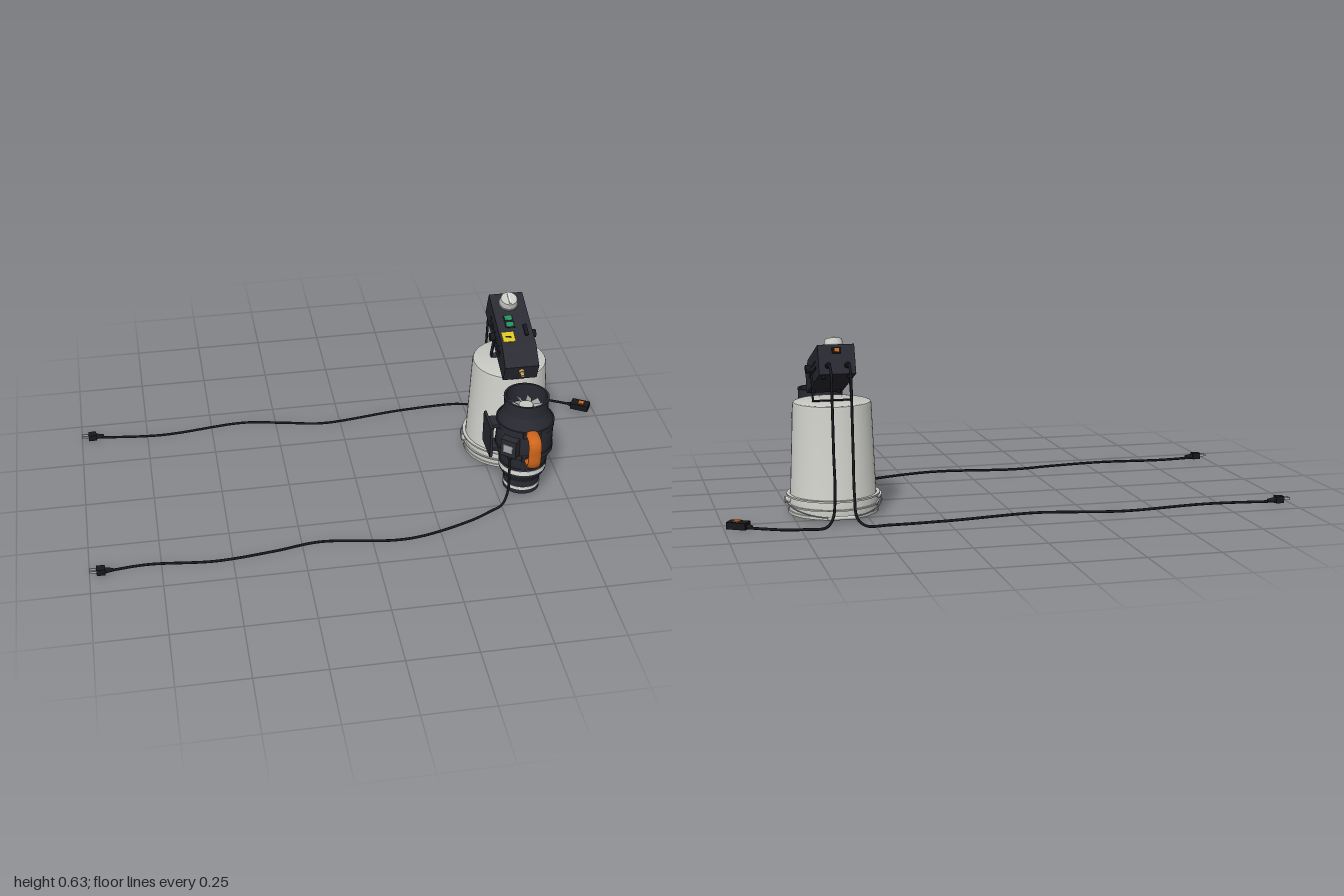
import * as THREE from 'three';
import { toCreasedNormals } from 'three/addons/utils/BufferGeometryUtils.js';

const mat = (name, color, side = THREE.FrontSide) => {
  const m = new THREE.MeshStandardMaterial({ color, side });
  m.name = name;
  return m;
};

export function createModel() {
  const M = {
    dark: mat('charcoal', 0x2a2b33),
    black: mat('black rubber', 0x17181c),
    pail: mat('pale grey plastic', 0xc9c9c4),
    white: mat('white', 0xe0e0dc),
    steel: mat('steel', 0xa4a9ab),
    orange: mat('orange', 0xcf651c),
    yellow: mat('yellow', 0xd9c41f),
    green: mat('green', 0x1f8f5c),
    brass: mat('brass', 0xc9a265),
  };
  const model = new THREE.Group();
  const group = (name, x, y, z, parent = model) => {
    const g = new THREE.Group();
    g.name = name;
    g.position.set(x, y, z);
    parent.add(g);
    return g;
  };
  const add = (parent, name, geo, m, x = 0, y = 0, z = 0) => {
    const mesh = new THREE.Mesh(geo, m);
    mesh.name = name;
    mesh.position.set(x, y, z);
    parent.add(mesh);
    return mesh;
  };
  const box = (p, name, m, w, h, d, x, y, z) => add(p, name, new THREE.BoxGeometry(w, h, d), m, x, y, z);
  const cyl = (p, name, m, r, h, x, y, z, seg = 24) => add(p, name, new THREE.CylinderGeometry(r, r, h, seg), m, x, y, z);
  const lathe = (p, name, m, pts) => add(p, name, toCreasedNormals(
    new THREE.LatheGeometry(pts.map(([r, y]) => new THREE.Vector2(r, y)), 48), 0.5), m);
  const ring = (p, name, m, r, y0, y1) => lathe(p, name, m, [[r - 0.012, y0], [r, y0], [r, y1], [r - 0.012, y1]]);
  const curve = pts => new THREE.CatmullRomCurve3(pts.map(p => new THREE.Vector3(...p)));
  const tube = (p, name, m, pts, r, n = 140, sides = 8) =>
    add(p, name, new THREE.TubeGeometry(curve(pts), n, r, sides), m);

  // Upturned bucket with rim flanges and wire bail
  const bucket = group('bucket', 0.6, 0, -0.124);
  lathe(bucket, 'bucketShell', M.pail, [[0, 0.146], [0.158, 0.146], [0.158, 0.156], [0.155, 0.157], [0.153, 0.206],
    [0.15, 0.212], [0.137, 0.525], [0.134, 0.533], [0.128, 0.535], [0, 0.535]]);
  ring(bucket, 'upperFlange', M.pail, 0.163, 0.206, 0.212);
  ring(bucket, 'lowerFlange', M.pail, 0.16, 0.175, 0.18);
  const bail = [];
  for (let i = 0; i <= 12; i++) {
    const t = Math.PI * i / 12;
    bail.push([0.168 * Math.cos(t), 0.193 - 0.035 * Math.sin(t), -0.182 * Math.sin(t)]);
  }
  tube(bucket, 'bail', M.steel, bail, 0.0025, 60, 6);
  cyl(bucket, 'bailGrip', M.pail, 0.007, 0.1, 0, 0.158, -0.181, 12).rotation.z = Math.PI / 2;
  for (const s of [-1, 1]) cyl(bucket, 'bailPivot', M.pail, 0.012, 0.02, s * 0.16, 0.193, 0).rotation.z = Math.PI / 2;

  // Duct fan with reducer
  const fan = group('ductFan', 0.6, 0, 0.136);
  lathe(fan, 'fanHousing', M.dark, [[0, 0.165], [0.061, 0.165], [0.061, 0.149], [0.067, 0.149], [0.067, 0.202],
    [0.086, 0.236], [0.086, 0.276], [0.103, 0.337], [0.103, 0.445], [0.08, 0.488], [0.08, 0.535], [0.082, 0.535],
    [0.082, 0.541], [0.074, 0.541], [0.074, 0.46], [0, 0.46]]);
  ring(fan, 'upperClampBand', M.dark, 0.1055, 0.429, 0.449);
  ring(fan, 'lowerClampBand', M.dark, 0.1055, 0.327, 0.347);
  ring(fan, 'reducerCollar', M.dark, 0.088, 0.265, 0.274);
  ring(fan, 'upperWhiteBand', M.white, 0.0875, 0.245, 0.263);
  ring(fan, 'lowerWhiteBand', M.white, 0.0685, 0.167, 0.179);

  // Impeller inside the intake
  cyl(fan, 'impellerPlate', M.steel, 0.072, 0.004, 0, 0.468, 0, 32);
  cyl(fan, 'impellerHub', M.pail, 0.026, 0.03, 0, 0.487, 0);
  for (let i = 0; i < 11; i++) {
    const blade = group('blade', 0, 0.488, 0, fan);
    blade.rotation.y = i * Math.PI * 2 / 11;
    box(blade, 'bladeVane', M.steel, 0.046, 0.003, 0.022, 0.047, 0, 0).rotation.x = 0.7;
  }

  // Orange carrying handle and its mounts
  const grip = tube(fan, 'handle', M.orange, [[0, 0.442, 0.095], [0, 0.442, 0.128], [0, 0.437, 0.146], [0, 0.42, 0.155],
    [0, 0.386, 0.156], [0, 0.352, 0.155], [0, 0.335, 0.146], [0, 0.331, 0.128], [0, 0.331, 0.095]], 0.0115, 48, 12);
  grip.scale.x = 2.1;
  for (const y of [0.438, 0.336]) {
    box(fan, 'handleMount', M.dark, 0.066, 0.02, 0.045, 0, y, 0.088);
    box(fan, 'wallBracketArm', M.dark, 0.06, 0.014, 0.06, -0.108, y, 0);
  }
  box(fan, 'wallBracketPlate', M.dark, 0.01, 0.126, 0.115, -0.135, 0.387, 0);

  // Wiring box set diagonally on the fan side
  const junction = group('wiringBox', -0.072, 0.386, 0.086, fan);
  junction.rotation.y = -0.7;
  box(junction, 'wiringBoxBody', M.dark, 0.06, 0.07, 0.04, 0, 0, 0);
  box(junction, 'wiringLabel', M.steel, 0.035, 0.03, 0.003, 0, 0, 0.021);
  cyl(junction, 'cordGland', M.black, 0.009, 0.02, 0, -0.043, 0, 12);

  // Airflow arrow
  const arrow = new THREE.Shape([[-0.004, 0.033], [-0.004, -0.008], [-0.011, -0.008], [0, -0.033],
    [0.011, -0.008], [0.004, -0.008], [0.004, 0.033]].map(p => new THREE.Vector2(...p)));
  const arrowTurn = group('airflowArrow', 0, 0.387, 0, fan);
  arrowTurn.rotation.y = Math.PI / 2 + 0.61;
  add(arrowTurn, 'arrowPlate', new THREE.ExtrudeGeometry(arrow, { depth: 0.004, bevelEnabled: false }), M.white, 0, 0, 0.101);

  // Control unit, tilted on its bracket; local origin is the pivot
  const unit = group('controlUnit', 0.602, 0.645, -0.108);
  unit.rotation.x = 0.35;
  const outline = [[0.161, -0.053], [0.161, 0.017], [0.087, 0.05], [-0.158, 0.05], [-0.158, -0.053]];
  const profile = k => outline.map(([z, y]) => new THREE.Vector2(z * k, y * k));
  const extrudeX = (shape, depth) => new THREE.ExtrudeGeometry(shape, { depth, bevelEnabled: false, curveSegments: 5 })
    .rotateY(-Math.PI / 2).translate(depth / 2, 0, 0);
  const shell = new THREE.Shape(profile(1));
  shell.holes.push(new THREE.Path(profile(0.96)));
  add(unit, 'caseShell', extrudeX(shell, 0.12), M.dark);
  const panel = new THREE.Shape(profile(1));
  for (let r = 0; r < 5; r++) for (let c = 0; c < 14; c++) {
    const hole = new THREE.Path();
    hole.absarc(-0.09 + c * 0.0127, -0.027 + r * 0.0085, 0.003, 0, Math.PI * 2, true);
    panel.holes.push(hole);
  }
  const panelGeo = extrudeX(panel, 0.003);
  for (const s of [-1, 1]) {
    add(unit, 'ventPanel', panelGeo, M.dark, s * 0.0615);
    cyl(unit, 'pivotKnob', M.black, 0.015, 0.018, s * 0.077, 0, 0, 16).rotation.z = Math.PI / 2;
    box(unit, 'bracketArm', M.dark, 0.004, 0.115, 0.022, s * 0.067, -0.055, 0);
    for (const z of [-0.13, 0.125]) cyl(unit, 'foot', M.black, 0.008, 0.01, s * 0.045, -0.057, z, 12);
    const gland = cyl(unit, 'rearCordGland', M.black, 0.009, 0.024, s * 0.033, -0.024, -0.168, 12);
    gland.rotation.x = Math.PI / 2;
  }
  box(unit, 'bracketBase', M.dark, 0.138, 0.004, 0.022, 0, -0.113, 0);

  // Controls, labels and nozzle
  cyl(unit, 'dialBase', M.steel, 0.036, 0.006, 0, 0.053, -0.11, 32);
  add(unit, 'dial', new THREE.CylinderGeometry(0.03, 0.034, 0.022, 32), M.pail, 0, 0.067, -0.11);
  box(unit, 'dialPointer', M.white, 0.007, 0.006, 0.05, 0, 0.079, -0.11);
  box(unit, 'warningLabel', M.yellow, 0.044, 0.002, 0.044, -0.032, 0.051, 0.046);
  box(unit, 'warningMark', M.black, 0.02, 0.002, 0.006, -0.032, 0.0522, 0.046);
  box(unit, 'display', M.black, 0.036, 0.002, 0.056, -0.015, 0.051, -0.024);
  for (const z of [-0.04, -0.01]) box(unit, 'displaySegment', M.green, 0.026, 0.002, 0.02, -0.015, 0.0524, z);
  box(unit, 'slideSwitch', M.black, 0.014, 0.006, 0.05, 0.038, 0.052, 0.02);
  box(unit, 'powerSwitch', M.black, 0.03, 0.02, 0.012, 0, 0.028, -0.162);
  box(unit, 'powerLamp', M.orange, 0.016, 0.012, 0.004, 0, 0.028, -0.169);
  cyl(unit, 'nozzleNut', M.brass, 0.011, 0.01, 0, -0.005, 0.166, 6).rotation.x = Math.PI / 2;
  cyl(unit, 'nozzle', M.brass, 0.007, 0.022, 0, -0.005, 0.176, 16).rotation.x = Math.PI / 2;

  // Cords
  const drop = x => [[x, 0.68, -0.272], [x, 0.684, -0.3], [x, 0.663, -0.329], [x, 0.573, -0.342],
    [x, 0.393, -0.357], [x, 0.25, -0.372]];
  const onFloor = pts => pts.map(([x, z]) => [x, 0.15, z]);
  tube(model, 'unitPowerCord', M.black, [...drop(0.568), [0.562, 0.175, -0.386], ...onFloor([[0.535, -0.4], [0.455, -0.41],
    [0.24, -0.4], [-0.07, -0.363], [-0.21, -0.388], [-0.374, -0.416], [-0.695, -0.385], [-0.955, -0.41]])], 0.0048, 200);
  tube(model, 'remoteCord', M.black, [...drop(0.634), [0.645, 0.175, -0.385], ...onFloor([[0.67, -0.396], [0.73, -0.402],
    [0.8, -0.392], [0.86, -0.365], [0.925, -0.33]])], 0.0048, 140);
  tube(model, 'fanPowerCord', M.black, [[0.528, 0.345, 0.225], [0.526, 0.28, 0.235], [0.52, 0.2, 0.25], [0.497, 0.158, 0.266],
    ...onFloor([[0.45, 0.287], [0.374, 0.326], [0.187, 0.385], [0.08, 0.394], [-0.187, 0.36], [-0.35, 0.385],
      [-0.56, 0.406], [-0.8, 0.386], [-0.955, 0.4]])], 0.0048, 180);

  // Mains plugs
  for (const z of [-0.41, 0.4]) {
    const plug = group('plug', -0.96, 0.157, z);
    box(plug, 'plugBody', M.black, 0.03, 0.024, 0.028, 0, 0, 0);
    const relief = add(plug, 'strainRelief', new THREE.CylinderGeometry(0.006, 0.011, 0.03, 12), M.black, 0.028, -0.002, 0);
    relief.rotation.z = -Math.PI / 2;
    for (const s of [-1, 1]) box(plug, 'prong', M.steel, 0.026, 0.009, 0.003, -0.027, 0.002, s * 0.008);
  }

  // Remote switch block
  const remote = group('remoteSwitch', 0.953, 0.157, -0.31);
  remote.rotation.y = -0.53;
  box(remote, 'remoteBody', M.black, 0.07, 0.024, 0.042, 0, 0, 0);
  box(remote, 'remoteButton', M.orange, 0.022, 0.006, 0.022, 0.004, 0.013, 0);
  const collar = add(remote, 'remoteCollar', new THREE.CylinderGeometry(0.006, 0.01, 0.02, 12), M.black, -0.042, -0.004, 0);
  collar.rotation.z = Math.PI / 2;
  return model;
}
